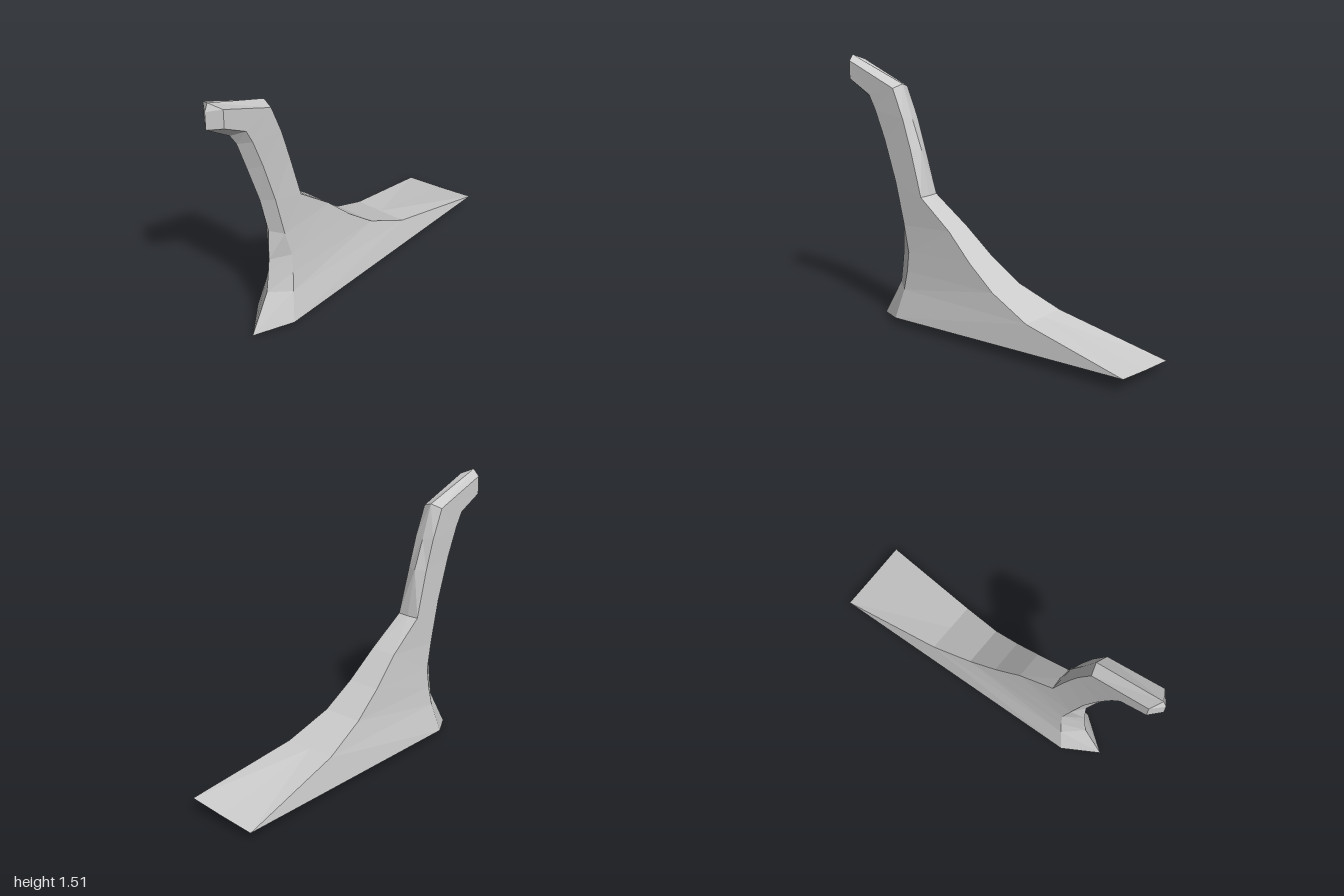
import * as THREE from 'three';

export function createModel() {
  const grey = new THREE.MeshStandardMaterial({ color: 0xcccccc, flatShading: true });
  grey.name = 'plainGrey';

  // Cross-sections from the spread foot up the neck to the snout, each as
  // front ridge [z, y], front side edge [z, y, half width],
  // back side edge [z, y, half width], back ridge [z, y]
  const sections = [
    [[0.76, 0.005], [0.57, 0.04, 0.13], [-1, 0.07, 0.22], [-1, 0.05]],
    [[0.635, 0.22], [0.53, 0.21, 0.095], [-0.37, 0.205, 0.157], [-0.37, 0.205]],
    [[0.62, 0.33], [0.515, 0.32, 0.083], [-0.12, 0.32, 0.12], [-0.12, 0.32]],
    [[0.61, 0.42], [0.51, 0.43, 0.074], [0.05, 0.45, 0.1], [0.05, 0.45]],
    [[0.605, 0.6], [0.55, 0.58, 0.064], [0.21, 0.6, 0.08], [0.21, 0.6]],
    [[0.66, 0.82], [0.61, 0.82, 0.061], [0.42, 0.76, 0.068], [0.415, 0.76]],
    [[0.74, 1.04], [0.69, 1.06, 0.06], [0.495, 1.02, 0.063], [0.47, 1.02]],
    [[0.805, 1.215], [0.757, 1.225, 0.062], [0.55, 1.19, 0.063], [0.535, 1.19]],
    [[0.848, 1.28], [0.8, 1.305, 0.063], [0.62, 1.355, 0.063], [0.6, 1.375]],
    [[1, 1.38], [0.945, 1.385, 0.064], [0.945, 1.487, 0.064], [0.98, 1.515]],
  ];

  // Six-point loop, running anticlockwise seen from above
  const loops = sections.map(([front, frontSide, backSide, back]) => {
    const at = ([z, y, w = 0], side = 1) => [side * w, y, z];
    return [at(front), at(frontSide), at(backSide), at(back), at(backSide, -1), at(frontSide, -1)];
  });
  loops[0][4][1] = 0.035; // the tail tip tilts down on the right

  const positions = [];
  const triangle = (a, b, c) => positions.push(...a, ...b, ...c);

  // Skin between neighbouring loops
  for (let s = 0; s < loops.length - 1; s++) {
    const low = loops[s], high = loops[s + 1];
    for (let i = 0; i < 6; i++) {
      const j = (i + 1) % 6;
      if (i < 3) {
        triangle(low[i], low[j], high[j]);
        triangle(low[i], high[j], high[i]);
      } else { // mirrored diagonal
        triangle(low[i], low[j], high[i]);
        triangle(low[j], high[j], high[i]);
      }
    }
  }

  // Shallow keel under the foot and pointed face on the snout
  const keel = [0, 0, 0.1], nose = [0, 1.475, 1];
  const foot = loops[0], snout = loops[loops.length - 1];
  for (let i = 0; i < 6; i++) {
    const j = (i + 1) % 6;
    triangle(keel, foot[j], foot[i]);
    triangle(nose, snout[i], snout[j]);
  }

  const geometry = new THREE.BufferGeometry();
  geometry.setAttribute('position', new THREE.Float32BufferAttribute(positions, 3));
  geometry.computeVertexNormals();

  const body = new THREE.Mesh(geometry, grey);
  body.name = 'hookedNeckAndFlaredFoot';
  const group = new THREE.Group();
  group.name = 'hookedStem';
  group.add(body);
  return group;
}
